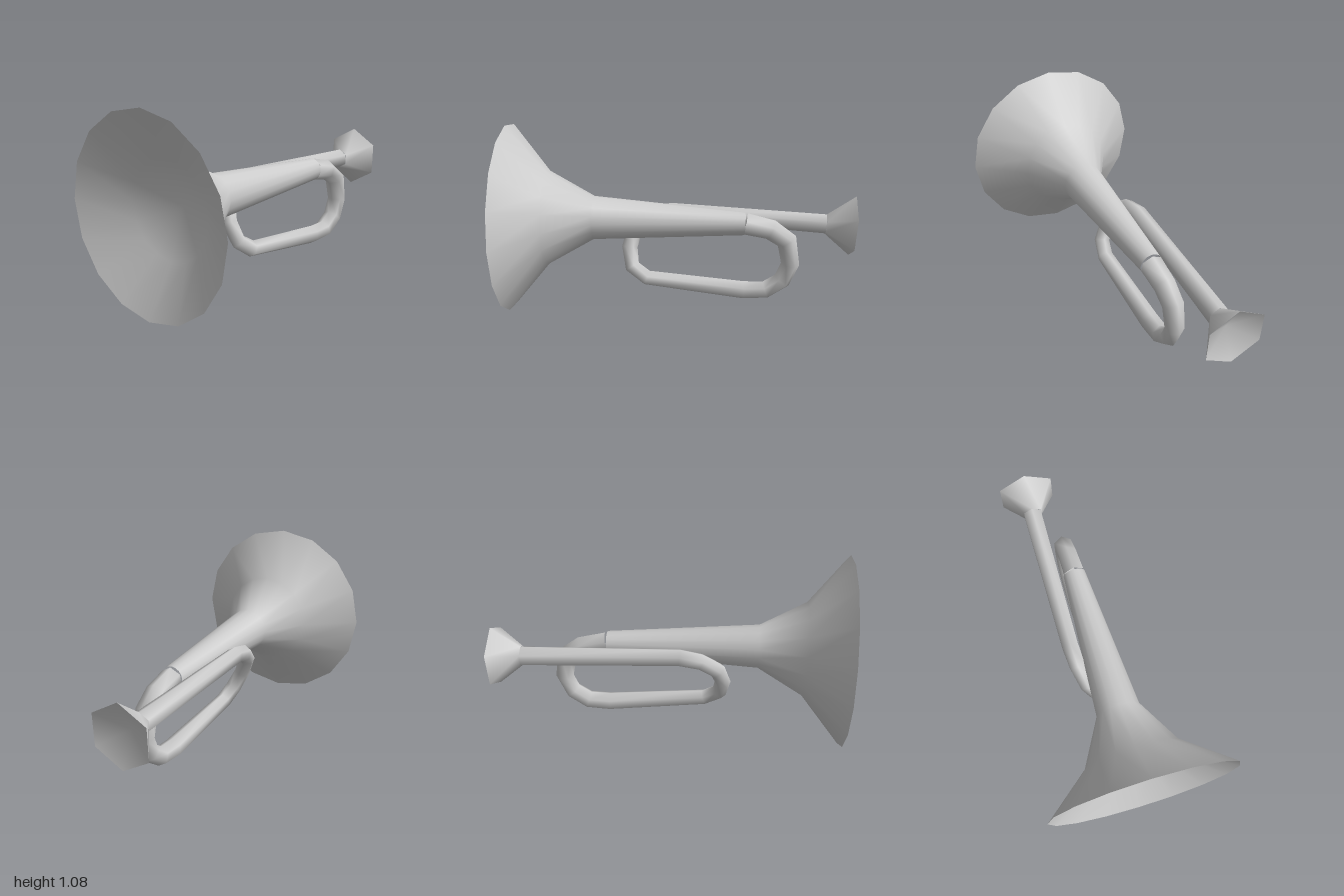
import * as THREE from 'three';
import { mergeVertices } from 'three/addons/utils/BufferGeometryUtils.js';

// Sweeps a polygon along stations [x, y, z, radius]; inward turns the faces to the inside.
function sweep(stations, sides, inward = false) {
  const pts = stations.map(([x, y, z]) => new THREE.Vector3(x, y, z));
  const last = pts.length - 1;
  const positions = [], index = [];
  const sideAxis = new THREE.Vector3(1, 0, 0);
  pts.forEach((p, i) => {
    const tangent = new THREE.Vector3();
    if (i > 0) tangent.add(p.clone().sub(pts[i - 1]).normalize());
    if (i < last) tangent.add(pts[i + 1].clone().sub(p).normalize());
    tangent.normalize();
    const up = tangent.clone().cross(sideAxis).normalize();
    const across = up.clone().cross(tangent).normalize();
    for (let j = 0; j < sides; j++) {
      const a = (j / sides) * Math.PI * 2;
      const v = p.clone()
        .addScaledVector(up, Math.cos(a) * stations[i][3])
        .addScaledVector(across, Math.sin(a) * stations[i][3]);
      positions.push(v.x, v.y, v.z);
      if (i === last) continue;
      const k = (j + 1) % sides;
      const [A, B, C, D] = [i * sides + j, i * sides + k, (i + 1) * sides + k, (i + 1) * sides + j];
      // up, across and tangent form a left-handed set, so this order faces outward
      if (inward) index.push(A, B, C, A, C, D);
      else index.push(A, C, B, A, D, C);
    }
  });
  let geo = new THREE.BufferGeometry();
  geo.setAttribute('position', new THREE.Float32BufferAttribute(positions, 3));
  geo.setIndex(index);
  geo = mergeVertices(geo, 1e-5);
  // make the winding certain: outward sweeps enclose a positive volume
  const pos = geo.attributes.position, idx = geo.index;
  const centre = pts[0], a = new THREE.Vector3(), b = new THREE.Vector3(), c = new THREE.Vector3();
  let volume = 0;
  for (let t = 0; t < idx.count; t += 3) {
    a.fromBufferAttribute(pos, idx.getX(t)).sub(centre);
    b.fromBufferAttribute(pos, idx.getX(t + 1)).sub(centre);
    c.fromBufferAttribute(pos, idx.getX(t + 2)).sub(centre);
    volume += a.dot(b.cross(c));
  }
  if ((volume < 0) !== inward) {
    for (let t = 0; t < idx.count; t += 3) {
      const s = idx.getX(t);
      idx.setX(t, idx.getX(t + 1));
      idx.setX(t + 1, s);
    }
  }
  geo.computeVertexNormals();
  return geo;
}

export function createModel() {
  const group = new THREE.Group();
  const material = new THREE.MeshStandardMaterial({ color: 0xcccccc });
  const add = (name, geometry) => {
    const mesh = new THREE.Mesh(geometry, material);
    mesh.name = name;
    group.add(mesh);
  };

  // Flared bell running back into the tapering neck
  add('bell', sweep([
    [0, 0.542, 1, 0.54], [0, 0.542, 0.78, 0.27], [0, 0.544, 0.52, 0.125], [0, 0.518, -0.35, 0.066],
  ], 16));

  // Hollow face of the bell
  add('bellMouth', sweep([
    [0, 0.542, 1, 0.54], [0, 0.542, 0.84, 0.27], [0, 0.542, 0.74, 0],
  ], 16, true));

  // Tube looping down, forward, and up beside the neck to the mouthpiece
  add('loopTube', sweep([
    [0, 0.518, -0.35, 0.066], [0, 0.483, -0.5, 0.062], [0, 0.415, -0.595, 0.06],
    [0, 0.27, -0.62, 0.054], [0, 0.165, -0.575, 0.054], [0, 0.102, -0.48, 0.055],
    [0, 0.098, -0.35, 0.056], [0, 0.168, 0.22, 0.047], [-0.02, 0.23, 0.308, 0.046],
    [-0.07, 0.335, 0.326, 0.046], [-0.115, 0.44, 0.295, 0.048], [-0.142, 0.51, 0.2, 0.05],
    [-0.15, 0.535, 0.08, 0.052], [-0.128, 0.475, -0.83, 0.06],
  ], 6));

  // Flared mouthpiece and its cup
  const rim = [-0.125, 0.465, -0.988, 0.185];
  add('mouthpiece', sweep([[-0.127, 0.475, -0.83, 0.06], rim], 6));
  add('mouthpieceCup', sweep([rim, [-0.126, 0.471, -0.9, 0]], 6, true));

  return group;
}
